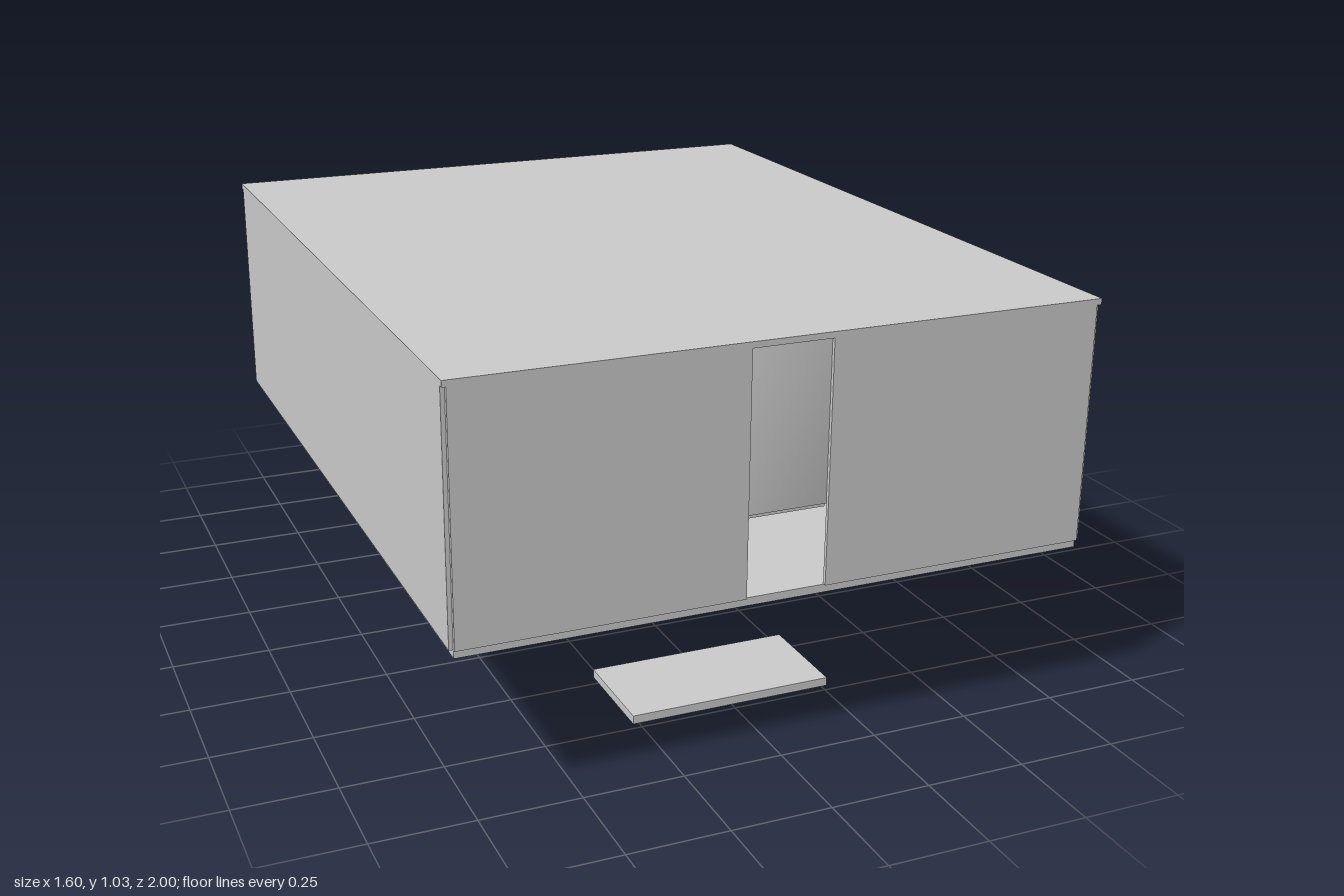
import * as THREE from 'three';
import { mergeVertices } from 'three/addons/utils/BufferGeometryUtils.js';

export function createModel() {
  const model = new THREE.Group();
  model.name = 'chamber';
  const grey = new THREE.MeshStandardMaterial({ color: 0xcccccc });
  grey.name = 'plain grey';

  const add = (name, geometry, parent = model) => {
    const mesh = new THREE.Mesh(geometry, grey);
    mesh.name = name;
    parent.add(mesh);
    return mesh;
  };
  // Box given by its low and high corners
  const box = (name, [x0, y0, z0], [x1, y1, z1], parent) => {
    const mesh = add(name, new THREE.BoxGeometry(x1 - x0, y1 - y0, z1 - z0), parent);
    mesh.position.set((x0 + x1) / 2, (y0 + y1) / 2, (z0 + z1) / 2);
    return mesh;
  };

  // Shell: floor, roof and side walls, with open notches at the corners
  box('floor', [-0.79, 0.4, -0.99], [0.79, 0.42, 0.99]);
  box('roof', [-0.8, 1.015, -1], [0.8, 1.03, 1]);
  for (const s of [-1, 1]) {
    const wall = box('sideWall', [-0.005, 0.42, -0.988], [0.005, 1.015, 0.988]);
    wall.position.x = s * 0.795;
  }

  // End walls, each with a full-height doorway and a raised door
  for (const turn of [0, Math.PI]) {
    const end = new THREE.Group();
    end.name = turn ? 'backEnd' : 'frontEnd';
    end.rotation.y = turn;
    model.add(end);
    box('endWallLeft', [0.1, 0.42, 0.988], [0.79, 1.015, 0.998], end);
    box('endWallRight', [-0.79, 0.42, 0.988], [-0.1, 1.015, 0.998], end);

    // Door panel with normals blended around its corners
    const panel = new THREE.BoxGeometry(0.2, 0.395, 0.012);
    panel.deleteAttribute('normal');
    panel.deleteAttribute('uv');
    const soft = mergeVertices(panel);
    soft.computeVertexNormals();
    add('raisedDoor', soft, end).position.set(0, 0.8175, 0.982);
    box('doorLintel', [-0.1, 0.61, 0.965], [0.1, 0.62, 0.98], end);
  }

  // Partition and ceiling beams inside
  box('partition', [-0.79, 0.42, -0.01], [0.79, 1.015, 0.01]);
  for (let i = 0; i < 8; i++) {
    const z = -0.875 + i * 0.25;
    box('ceilingBeam', [-0.79, 0.985, z - 0.015], [0.79, 1.015, z + 0.015]);
  }

  // Rubble sunk into the floor: x, y, z, radius
  const rocks = [
    [-0.042, 0.432, 0.4, 0.026], [0.008, 0.43, 0.37, 0.033],
    [0.052, 0.432, 0.41, 0.034], [-0.012, 0.414, 0.43, 0.02],
    [0.038, 0.414, 0.35, 0.022],
  ];
  rocks.forEach(([x, y, z, r], i) => {
    const rock = add('rock', new THREE.DodecahedronGeometry(r, 0));
    rock.position.set(x, y, z);
    rock.rotation.set(i * 1.3, i * 0.7, i * 2.1);
    rock.scale.set(1, 0.85, 0.9);
  });
  const fallen = box('fallenPiece', [0.18, 0.395, -0.45], [0.225, 0.412, -0.37]);
  fallen.rotation.z = -0.08;

  // Loose slab on the ground below
  box('groundSlab', [-0.265, 0, 0.465], [0.265, 0.022, 0.73]);

  return model;
}
